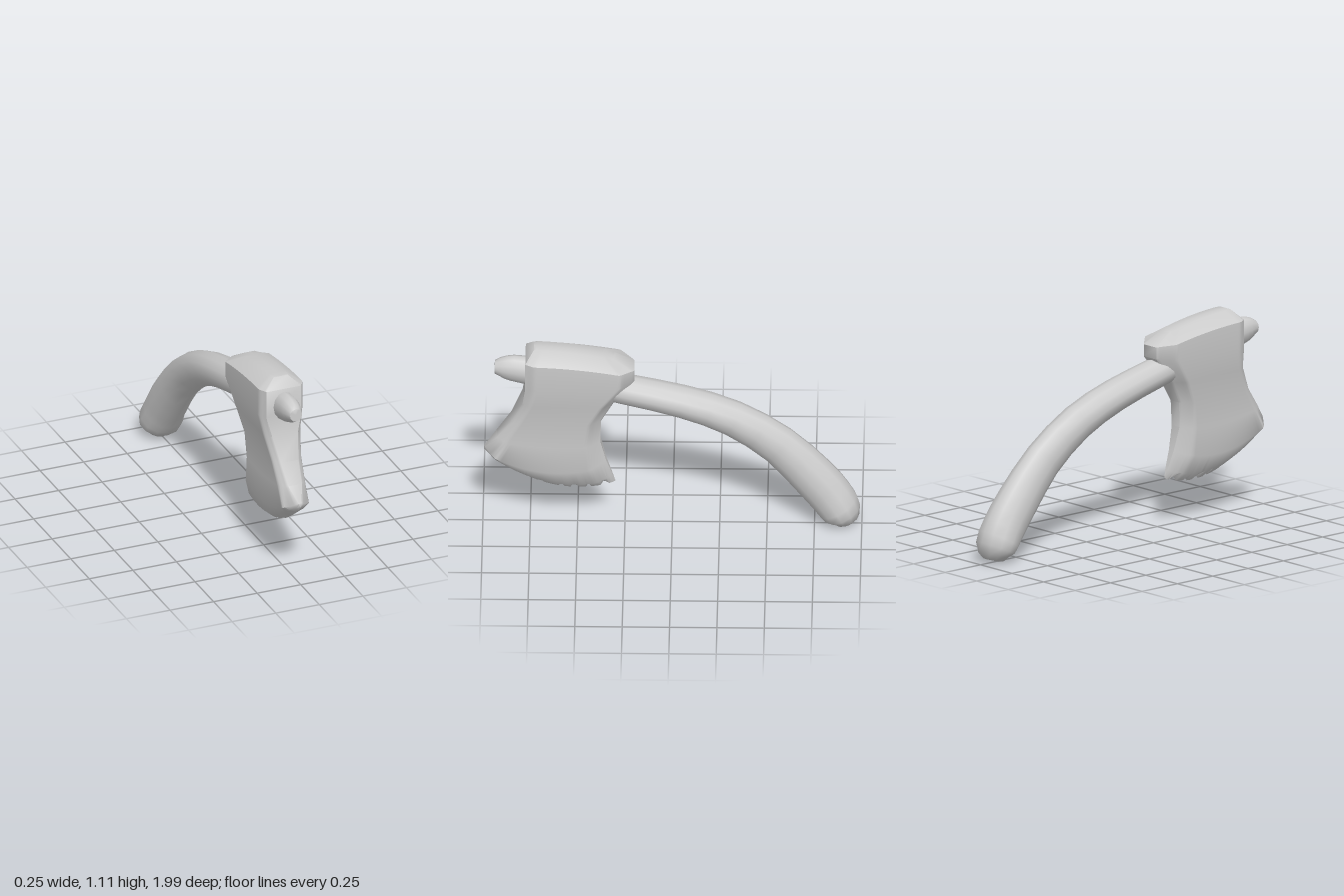
import * as THREE from 'three';
import { toCreasedNormals } from 'three/addons/utils/BufferGeometryUtils.js';

const material = new THREE.MeshStandardMaterial({ color: 0xcccccc });

// Skin a list of closed rings of [x, y, z] points and close both ends.
function loft(rings, crease, name) {
  const n = rings[0].length, pos = [], index = [];
  rings.forEach(r => r.forEach(p => pos.push(...p)));
  for (let i = 0; i < rings.length - 1; i++) {
    for (let j = 0; j < n; j++) {
      const k = (j + 1) % n;
      const a = i * n + j, b = i * n + k, c = a + n, d = b + n;
      index.push(a, c, b, b, c, d);
    }
  }
  const geometry = new THREE.BufferGeometry();
  geometry.setAttribute('position', new THREE.Float32BufferAttribute(pos, 3));
  geometry.setIndex(index);
  const mesh = new THREE.Mesh(toCreasedNormals(geometry, crease), material);
  mesh.name = name;
  return mesh;
}

// Curved handle: each section is [z, y, half width, half height].
function makeHandle() {
  const sections = [
    [0.938, 0.985, 0.035, 0.036],
    [0.88, 0.983, 0.052, 0.066],
    [0.78, 0.968, 0.06, 0.08],
    [0.5, 0.91, 0.075, 0.08],
    [0.25, 0.85, 0.088, 0.08],
    [-0.05, 0.775, 0.095, 0.086],
    [-0.32, 0.67, 0.09, 0.098],
    [-0.56, 0.505, 0.086, 0.112],
    [-0.74, 0.31, 0.1, 0.122],
    [-0.84, 0.18, 0.109, 0.12],
    [-0.895, 0.085, 0.115, 0.105],
    [-0.91, 0.022, 0.055, 0.055],
  ];
  const curveOf = f => new THREE.CatmullRomCurve3(sections.map(f), false, 'catmullrom', 0.5);
  const path = curveOf(s => new THREE.Vector3(0, s[1], s[0]));
  const size = curveOf(s => new THREE.Vector3(s[2], s[3], 0));
  const steps = (sections.length - 1) * 2, sides = 12, rings = [];
  for (let i = 0; i <= steps; i++) {
    const p = path.getPoint(i / steps), r = size.getPoint(i / steps), t = path.getTangent(i / steps);
    const ring = [];
    for (let j = 0; j < sides; j++) {
      const a = j / sides * Math.PI * 2, h = Math.sin(a) * r.y;
      ring.push([Math.cos(a) * r.x, p.y - t.z * h, p.z + t.y * h]);
    }
    rings.push(ring);
  }
  // Collapsed rings close the ends
  const cap = ring => {
    const c = [0, 1, 2].map(k => ring.reduce((s, p) => s + p[k], 0) / sides);
    return ring.map(() => c);
  };
  return loft([cap(rings[0]), ...rings, cap(rings[steps])], 1.0, 'handle');
}

// Axe head: rows run from the poll on top down to the chipped cutting edge.
function makeHead() {
  // front z, y, back z, y, half width, sag, front and back end width factors
  const rows = [
    [0.73, 1.12, 0.30, 1.06, 0.0, -0.012, 1, 1],
    [0.73, 1.12, 0.30, 1.06, 0.045, -0.012, 0.9, 0.7],
    [0.775, 1.065, 0.20, 1.0, 0.125, -0.015, 0.8, 0.4],
    [0.775, 0.91, 0.20, 0.935, 0.125, 0, 0.8, 0.4],
    [0.79, 0.80, 0.31, 0.79, 0.105, 0, 0.7, 0.4],
    [0.85, 0.67, 0.375, 0.67, 0.084, 0, 0.6, 0.4],
    [0.925, 0.565, 0.38, 0.535, 0.077, 0.03, 0.5, 0.4],
    [0.99, 0.485, 0.35, 0.41, 0.076, 0.085, 0.12, 0.25],
    [0.993, 0.475, 0.315, 0.31, 0.045, 0.108, 0.1, 0.2],
    [0.995, 0.465, 0.30, 0.267, 0, 0.12, 0, 0],
  ];
  const columns = 44;
  // Depth of the nicks in the cutting edge, by column
  const chips = { 4: 0.02, 5: 0.012, 9: 0.018, 14: 0.022, 15: 0.01, 19: 0.012,
    26: 0.022, 30: 0.025, 31: 0.012, 35: 0.02, 40: 0.024, 41: 0.014 };
  const rings = rows.map(([fz, fy, bz, by, w, sag, ef, eb], i) => {
    const side = [];
    for (let c = 0; c <= columns; c++) {
      const u = c / columns;
      const front = ef + (1 - ef) * Math.min(1, u / 0.08);
      const back = eb + (1 - eb) * Math.min(1, (1 - u) / 0.13);
      const chip = i === rows.length - 1 ? chips[c] || 0 : 0;
      const y = fy + (by - fy) * u - sag * Math.pow(Math.max(0, Math.sin(Math.PI * u)), 0.8) + chip;
      side.push([w * Math.min(front, back), y, fz + (bz - fz) * u]);
    }
    const mirrored = side.map(([x, y, z]) => [-x, y, z]).reverse();
    return [...side, ...mirrored];
  });
  return loft(rings, 0.9, 'axeHead');
}

export function createModel() {
  const group = new THREE.Group();
  group.name = 'axe';
  group.add(makeHandle(), makeHead());
  return group;
}
